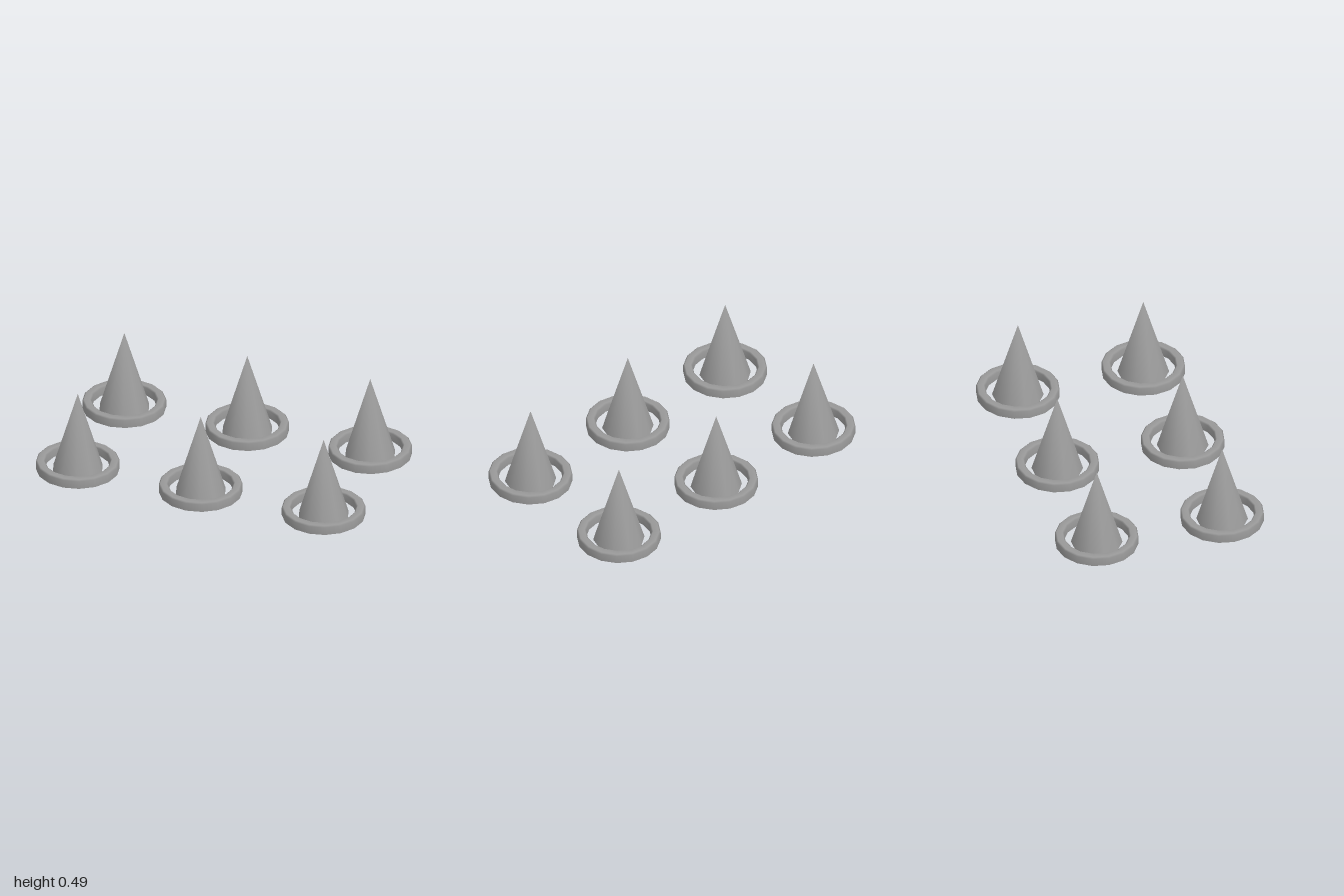
import * as THREE from 'three';
import { mergeVertices } from 'three/addons/utils/BufferGeometryUtils.js';

const SPACING_X = 0.758;
const SPACING_Z = 0.379;

// Ten-sided hollow cone, open below, with normals blended into one at the tip
function coneGeometry() {
  const height = 0.493;
  const cone = new THREE.ConeGeometry(0.149, height, 10, 1, true);
  cone.rotateY(Math.PI / 2);
  cone.translate(0, height / 2, 0);
  cone.deleteAttribute('normal');
  cone.deleteAttribute('uv');
  const merged = mergeVertices(cone, 1e-4);
  merged.computeVertexNormals();
  return merged;
}

// Sixteen-sided smooth channel ring: bevelled top, open underneath
function ringGeometry() {
  const profile = [
    [0.242, 0], [0.242, 0.048], [0.233, 0.056],
    [0.198, 0.056], [0.189, 0.048], [0.189, 0],
  ].map(([r, y]) => new THREE.Vector2(r, y));
  return new THREE.LatheGeometry(profile, 16);
}

export function createModel() {
  const model = new THREE.Group();
  model.name = 'coneSet';
  const material = new THREE.MeshStandardMaterial({ color: 0x989898, side: THREE.DoubleSide });
  const coneShape = coneGeometry();
  const ringShape = ringGeometry();

  // Two rows of three cones, each inside its own loose ring
  for (const row of [-1, 1]) {
    for (const column of [-1, 0, 1]) {
      const marker = new THREE.Group();
      marker.name = 'marker';
      const cone = new THREE.Mesh(coneShape, material);
      cone.name = 'cone';
      const ring = new THREE.Mesh(ringShape, material);
      ring.name = 'baseRing';
      marker.add(cone, ring);
      marker.position.set(column * SPACING_X, 0, row * SPACING_Z);
      model.add(marker);
    }
  }
  return model;
}
